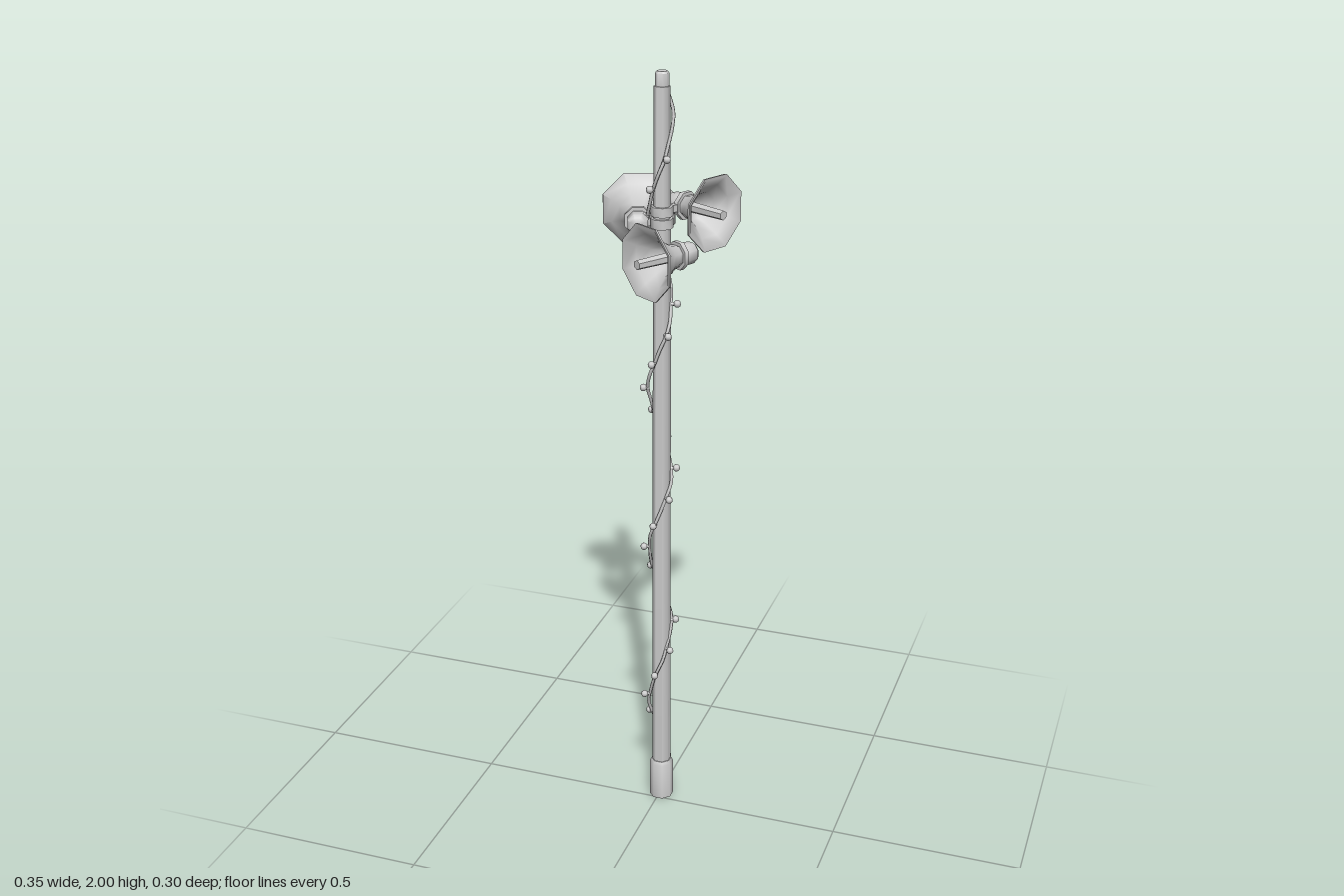
import * as THREE from 'three';
import { toCreasedNormals } from 'three/addons/utils/BufferGeometryUtils.js';

const material = new THREE.MeshStandardMaterial({ color: 0xcccccc });
const POLE_X = 0.004, POLE_Z = -0.025;

function mesh(name, geometry, parent) {
  const m = new THREE.Mesh(geometry, material);
  m.name = name;
  parent.add(m);
  return m;
}

// Eight-sided turned form; profile is [radius, height] pairs, bottom to top
function turned(profile, crease = 0.9) {
  const points = profile.map(([r, y]) => new THREE.Vector2(r, y));
  const g = new THREE.LatheGeometry(points, 8);
  g.rotateY(Math.PI / 8);
  return toCreasedNormals(g, crease);
}

// Horn speaker facing +z, origin at the centre of its mouth
function createHorn() {
  const horn = new THREE.Group();
  horn.name = 'hornSpeaker';

  // Hollow flared bell: outside, rim, then back down the inside
  const bell = turned([
    [0.024, -0.105], [0.03, -0.085], [0.036, -0.065], [0.05, -0.042], [0.073, -0.019],
    [0.096, -0.006], [0.097, 0], [0.091, 0], [0.067, -0.02], [0.044, -0.045],
    [0.03, -0.068], [0, -0.085],
  ]);
  mesh('bell', bell.rotateX(Math.PI / 2), horn);

  // Driver housing behind the bell
  const driver = turned([
    [0, -0.147], [0.02, -0.147], [0.027, -0.14], [0.028, -0.11], [0.023, -0.1], [0, -0.1],
  ]);
  mesh('driver', driver.rotateX(Math.PI / 2), horn);

  // Collar strap at the neck
  const collar = turned([
    [0.024, -0.106], [0.036, -0.106], [0.036, -0.094], [0.024, -0.094],
  ]);
  mesh('collar', collar.rotateX(Math.PI / 2), horn);

  // Centre plug poking out of the mouth
  const plug = new THREE.CylinderGeometry(0.012, 0.014, 0.112, 6);
  plug.rotateX(Math.PI / 2).translate(0, 0, -0.03);
  mesh('centrePlug', toCreasedNormals(plug, 0.9), horn);
  return horn;
}

export function createModel() {
  const model = new THREE.Group();
  model.name = 'loudspeakerPole';

  // Pole, base sleeve and top cap
  const post = new THREE.Group();
  post.name = 'post';
  post.position.set(POLE_X, 0, POLE_Z);
  model.add(post);
  mesh('base', turned([[0, 0], [0.032, 0], [0.032, 0.105], [0.027, 0.115], [0, 0.115]]), post);
  mesh('pole', turned([[0.025, 0.1], [0.024, 0.7], [0.022, 1.45], [0.02, 1.965], [0, 1.968]]), post);
  mesh('cap', turned([[0.017, 1.96], [0.017, 1.995], [0.013, 2], [0, 2]]), post);

  // Three horns around the pole: mouth centre and heading
  const horns = [
    { at: [0.005, 1.57, 0.098], heading: -0.57 },
    { at: [0.133, 1.665, -0.043], heading: 1.11 },
    { at: [-0.089, 1.635, -0.122], heading: 3.46 },
  ];
  for (const { at, heading } of horns) {
    const horn = createHorn();
    horn.position.set(...at);
    horn.rotation.y = heading;
    model.add(horn);

    // Clamp on the pole and an arm reaching the collar
    const clamp = mesh('poleClamp', turned([
      [0.02, -0.012], [0.028, -0.012], [0.028, 0.012], [0.02, 0.012],
    ]), model);
    clamp.position.set(POLE_X, at[1], POLE_Z);
    const dx = at[0] - Math.sin(heading) * 0.1 - POLE_X;
    const dz = at[2] - Math.cos(heading) * 0.1 - POLE_Z;
    const arm = mesh('bracketArm', new THREE.BoxGeometry(0.016, 0.018, Math.hypot(dx, dz)), model);
    arm.position.set(POLE_X + dx / 2, at[1], POLE_Z + dz / 2);
    arm.rotation.y = Math.atan2(dx, dz);
  }

  // Cable spiralling up the pole, with lamps hung along it
  const onSpiral = (y, r) => {
    const a = (2 * Math.PI * (y - 0.285)) / 0.45;
    return new THREE.Vector3(-Math.cos(a) * r, y, Math.sin(a) * r - 0.024);
  };
  const path = [];
  const STEPS = 50;
  for (let i = 0; i <= STEPS; i++) {
    path.push(onSpiral(0.11 + (1.83 * i) / STEPS, 0.029 + 0.003 * Math.sin(i * 1.7)));
  }
  const curve = new THREE.CatmullRomCurve3(path);
  mesh('cable', new THREE.TubeGeometry(curve, 150, 0.0045, 5), model);

  const lampGeometry = new THREE.SphereGeometry(0.0095, 8, 6);
  const socketGeometry = new THREE.CylinderGeometry(0.005, 0.005, 0.014, 6);
  socketGeometry.rotateX(Math.PI / 2);
  for (let i = 0; i <= 22; i++) {
    const y = 0.175 + i * 0.0738;
    const lamp = mesh('lamp', lampGeometry, model);
    lamp.position.copy(onSpiral(y, 0.042));
    const socket = mesh('lampSocket', socketGeometry, model);
    socket.position.copy(onSpiral(y, 0.034));
    socket.lookAt(lamp.position);
  }
  return model;
}
